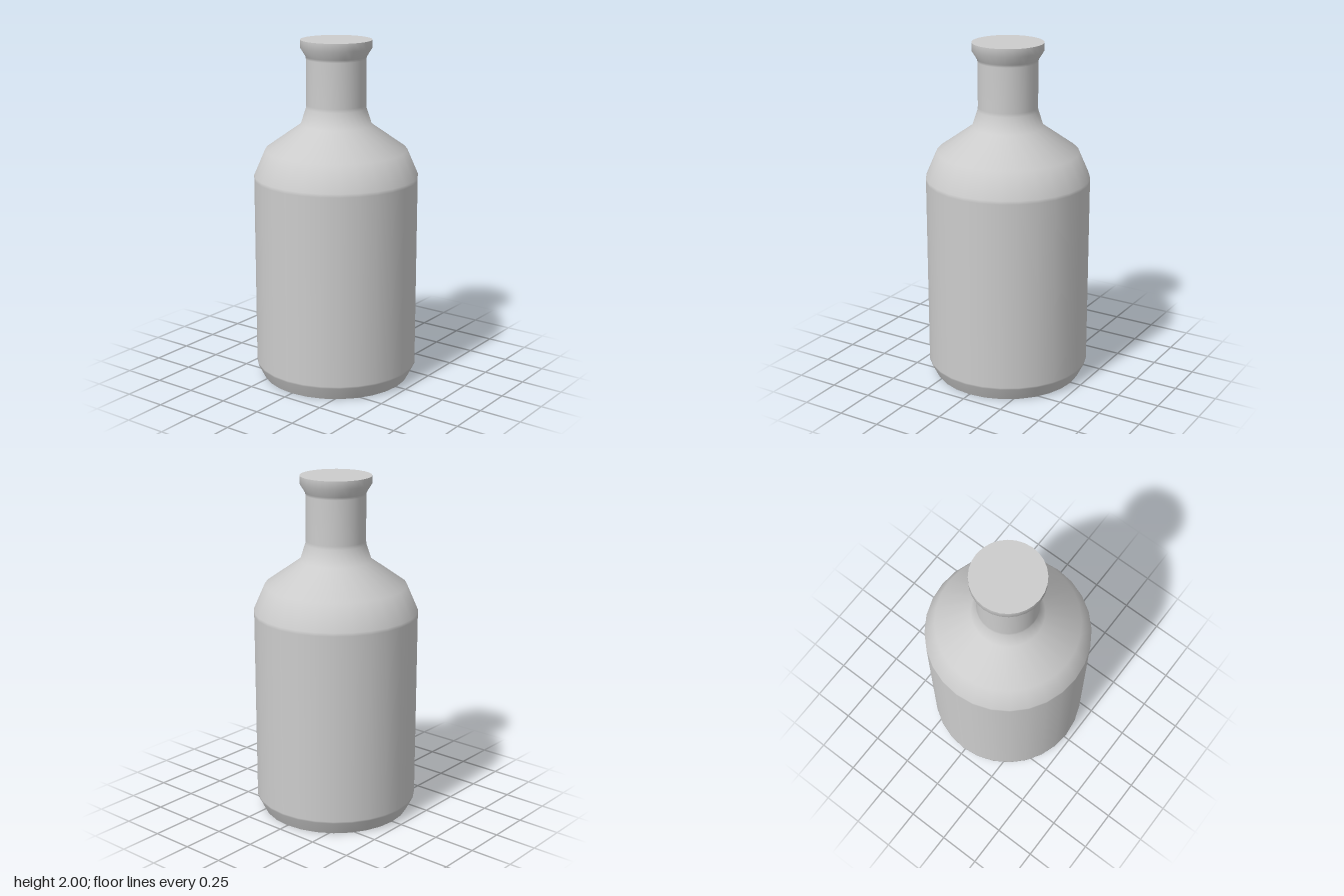
import * as THREE from 'three';

const SEGMENTS = 28;

export function createModel() {
  const group = new THREE.Group();
  group.name = 'bottle';
  const grey = new THREE.MeshStandardMaterial({ color: 0xcccccc });
  grey.name = 'light grey';

  const add = (name, geometry) => {
    const mesh = new THREE.Mesh(geometry, grey);
    mesh.name = name;
    group.add(mesh);
    return mesh;
  };

  // Bottle wall, bottom to top; close pairs of rings keep the straight runs evenly shaded
  const profile = [
    [0.435, 0], [0.475, 0.08], [0.475, 0.09],
    [0.475, 1.2], [0.475, 1.22], [0.41, 1.37],
    [0.205, 1.515], [0.174, 1.61], [0.172, 1.63],
    [0.172, 1.89], [0.174, 1.905], [0.205, 1.955], [0.205, 2],
  ].map(([r, y]) => new THREE.Vector2(r, y));
  add('bottleWall', new THREE.LatheGeometry(profile, SEGMENTS));

  // Flat discs closing the mouth and the base
  const disc = (name, radius, y, tilt) => {
    const geometry = new THREE.CircleGeometry(radius, SEGMENTS);
    geometry.rotateX(tilt);
    add(name, geometry).position.y = y;
  };
  disc('mouthCap', 0.205, 2, -Math.PI / 2);
  disc('base', 0.435, 0, Math.PI / 2);

  return group;
}
